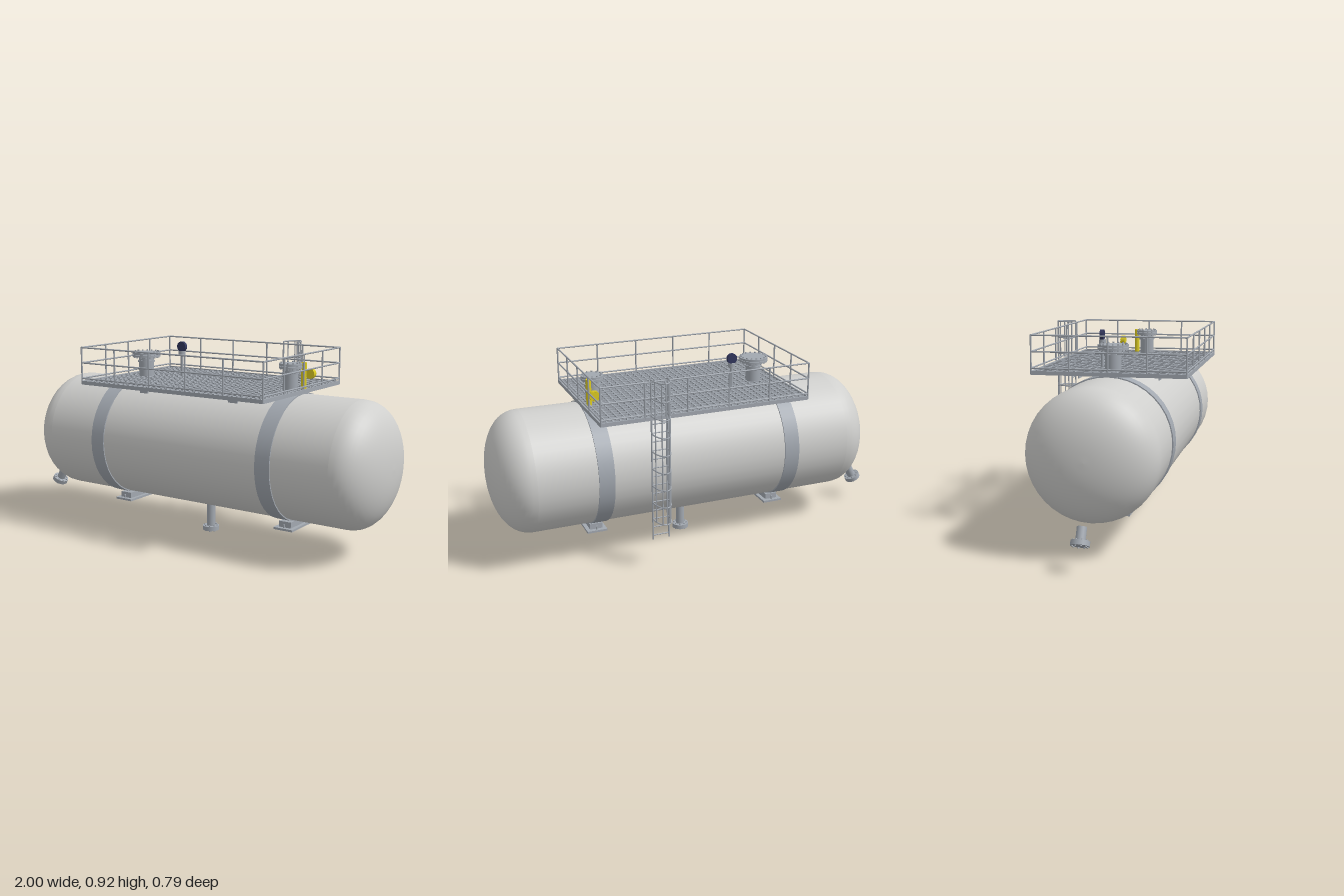
import * as THREE from 'three';

const mat = (name, color) => Object.assign(new THREE.MeshStandardMaterial({ color }), { name });

export function createModel() {
  const root = new THREE.Group();
  root.name = 'storageTank';
  const shellMat = mat('shell grey', 0xcfcfcd);
  const steel = mat('steel', 0xa2a8b0);
  const yellow = mat('yellow', 0xdccb22);
  const navy = mat('navy', 0x31365c);
  const CY = 0.433, CZ = 0.0425, R = 0.289;

  const group = (name, parent = root) => {
    const g = new THREE.Group();
    g.name = name;
    parent.add(g);
    return g;
  };
  const add = (parent, name, geo, material, x = 0, y = 0, z = 0) => {
    const m = new THREE.Mesh(geo, material);
    m.name = name;
    m.position.set(x, y, z);
    parent.add(m);
    return m;
  };
  const box = (parent, name, w, h, d, x, y, z, material = steel) =>
    add(parent, name, new THREE.BoxGeometry(w, h, d), material, x, y, z);
  // upright cylinder from y0 to y1
  const post = (parent, name, r, y0, y1, x, z, material = steel, sides = 20) =>
    add(parent, name, new THREE.CylinderGeometry(r, r, y1 - y0, sides), material, x, (y0 + y1) / 2, z);
  // round bar between two points
  const bar = (parent, name, a, b, r = 0.0038) => {
    const p = new THREE.Vector3(...a), q = new THREE.Vector3(...b);
    const m = add(parent, name, new THREE.CylinderGeometry(r, r, p.distanceTo(q), 8), steel);
    m.position.copy(p).add(q).multiplyScalar(0.5);
    m.quaternion.setFromUnitVectors(new THREE.Vector3(0, 1, 0), q.sub(p).normalize());
    return m;
  };
  const boltRing = (parent, n, ringR, r, y0, y1, x, z, material = steel) => {
    for (let i = 0; i < n; i++) {
      const a = (i + 0.5) / n * Math.PI * 2;
      post(parent, 'bolt', r, y0, y1, x + ringR * Math.cos(a), z + ringR * Math.sin(a), material, 6);
    }
  };

  // vessel: straight shell with two domed heads
  const vessel = group('vessel');
  const x0 = -0.735, x1 = 0.826, depth = 0.171;
  add(vessel, 'shell', new THREE.CylinderGeometry(R, R, x1 - x0, 40, 1, true), shellMat,
    (x0 + x1) / 2, CY, CZ).rotation.z = Math.PI / 2;
  const dome = [];
  for (let i = 0; i <= 14; i++) {
    const a = i / 14 * Math.PI / 2;
    dome.push(new THREE.Vector2(i === 14 ? 0 : R * Math.cos(a) ** 0.93, depth * Math.sin(a) ** 0.93));
  }
  for (const s of [1, -1])
    add(vessel, 'domedHead', new THREE.LatheGeometry(dome, 40), shellMat, s > 0 ? x1 : x0, CY, CZ)
      .rotation.z = -s * Math.PI / 2;

  // saddles: wrapper band, foot block, base plate and anchor bolts
  for (const x of [-0.4255, 0.5105]) {
    const saddle = group('saddle');
    add(saddle, 'wrapperBand', new THREE.CylinderGeometry(0.2945, 0.2945, 0.075, 40), steel, x, CY, CZ)
      .rotation.z = Math.PI / 2;
    box(saddle, 'footBlock', 0.062, 0.03, 0.165, x, 0.126, CZ);
    box(saddle, 'basePlate', 0.098, 0.01, 0.205, x, 0.108, CZ);
    for (const s of [-1, 1]) post(saddle, 'anchorBolt', 0.004, 0.1, 0.13, x, CZ + s * 0.09, steel, 6);
  }

  // small flanged pipe, flange face at the origin, pipe running up
  const drain = (name, length) => {
    const g = group(name);
    post(g, 'pipe', 0.021, 0.02, length, 0, 0);
    post(g, 'flange', 0.04, 0.005, 0.026, 0, 0, steel, 24);
    boltRing(g, 8, 0.031, 0.004, 0, 0.031, 0, 0);
    return g;
  };
  drain('drainNozzle', 0.16).position.set(0.045, 0, CZ);
  const tilted = drain('tiltedNozzle', 0.083);
  tilted.position.set(-0.967, 0.106, CZ);
  tilted.rotation.z = -0.48;

  // top manway and nozzle
  const neck = (name, x, pipeR, flangeR, bolts) => {
    const g = group(name);
    post(g, 'neck', pipeR, 0.7, 0.84, x, CZ, steel, 28);
    post(g, 'neckRing', pipeR + 0.005, 0.808, 0.816, x, CZ, steel, 28);
    post(g, 'flange', flangeR, 0.835, 0.845, x, CZ, steel, 28);
    post(g, 'cover', flangeR, 0.847, 0.857, x, CZ, steel, 28);
    boltRing(g, bolts, flangeR - 0.009, 0.004, 0.829, 0.863, x, CZ);
  };
  neck('manway', -0.347, 0.037, 0.07, 16);
  neck('topNozzle', 0.479, 0.034, 0.053, 12);

  // yellow fittings
  const fittings = group('yellowFittings');
  post(fittings, 'ventPipe', 0.0125, 0.7, 0.857, 0.515, -0.018, yellow);
  const valve = group('valve', fittings);
  valve.position.set(0.51, 0.798, -0.081);
  valve.rotation.x = -Math.PI / 2;
  post(valve, 'valveBody', 0.024, 0, 0.021, 0, 0, yellow);
  boltRing(valve, 8, 0.018, 0.0035, 0.02, 0.026, 0, 0, yellow);

  // gauge on a standpipe
  const gauge = group('gauge');
  post(gauge, 'standpipe', 0.007, 0.69, 0.85, -0.19, -0.044);
  post(gauge, 'gaugeFlange', 0.017, 0.844, 0.864, -0.19, -0.044);
  add(gauge, 'gaugeDial', new THREE.CylinderGeometry(0.025, 0.025, 0.016, 24), navy, -0.19, 0.885, -0.045)
    .rotation.x = Math.PI / 2;

  // L-shaped deck brackets
  for (const x of [-0.214, 0.294]) for (const z of [0.232, -0.147]) {
    const bracket = group('deckBracket');
    box(bracket, 'web', 0.048, 0.042, 0.005, x, 0.705, z);
    box(bracket, 'ledge', 0.048, 0.005, 0.024, x, 0.7225, z - 0.012);
  }

  // platform: edge beams and open grating
  const deck = group('platform');
  const ax = -0.463, bx = 0.548, az = -0.307, bz = 0.392;
  const mx = (ax + bx) / 2, mz = (az + bz) / 2;
  for (const z of [az, bz]) box(deck, 'edgeBeam', bx - ax, 0.018, 0.007, mx, 0.734, z);
  for (const x of [ax, bx]) box(deck, 'edgeBeam', 0.007, 0.018, bz - az, x, 0.734, mz);
  const nx = 32, nz = 22;
  for (let i = 1; i < nx; i++)
    box(deck, 'gratingBar', 0.006, 0.012, bz - az, ax + (bx - ax) * i / nx, 0.734, mz);
  for (let i = 1; i < nz; i++)
    box(deck, 'gratingBar', bx - ax, 0.01, 0.006, mx, 0.734, az + (bz - az) * i / nz);

  // guard rail around all four sides
  const rail = group('guardRail');
  for (const y of [0.755, 0.829, 0.902]) {
    for (const z of [az, bz]) bar(rail, 'longRail', [ax, y, z], [bx, y, z]);
    for (const x of [ax, bx]) bar(rail, 'sideRail', [x, y, az], [x, y, bz]);
  }
  for (let i = 0; i <= 5; i++) for (const z of [az, bz])
    post(rail, 'railPost', 0.004, 0.727, 0.904, ax + (bx - ax) * i / 5, z, steel, 8);
  for (let i = 1; i < 4; i++) for (const x of [ax, bx])
    post(rail, 'railPost', 0.004, 0.727, 0.904, x, az + (bz - az) * i / 4, steel, 8);

  // ladder with safety cage
  const ladder = group('ladder');
  const lx = 0.278, hw = 0.039, cd = 0.084;
  for (const s of [-1, 1]) post(ladder, 'stringer', 0.004, 0.143, 0.914, lx + s * hw, az, steel, 8);
  for (let y = 0.165; y < 0.73; y += 0.0417) bar(ladder, 'rung', [lx - hw, y, az], [lx + hw, y, az], 0.003);
  const cage = a => [lx + hw * Math.cos(a), az - cd * Math.sin(a)];
  const hoopPoints = y => Array.from({ length: 13 }, (_, i) => {
    const [x, z] = cage(i / 12 * Math.PI);
    return new THREE.Vector3(x, y, z);
  });
  for (let i = 0; i < 9; i++)
    add(ladder, 'cageHoop', new THREE.TubeGeometry(
      new THREE.CatmullRomCurve3(hoopPoints(0.247 + i * 0.0832)), 24, 0.0035, 6), steel);
  for (const deg of [27, 64, 90, 116, 153]) {
    const [x, z] = cage(deg * Math.PI / 180);
    post(ladder, 'cageBar', 0.003, 0.247, 0.9126, x, z, steel, 6);
  }
  return root;
}
